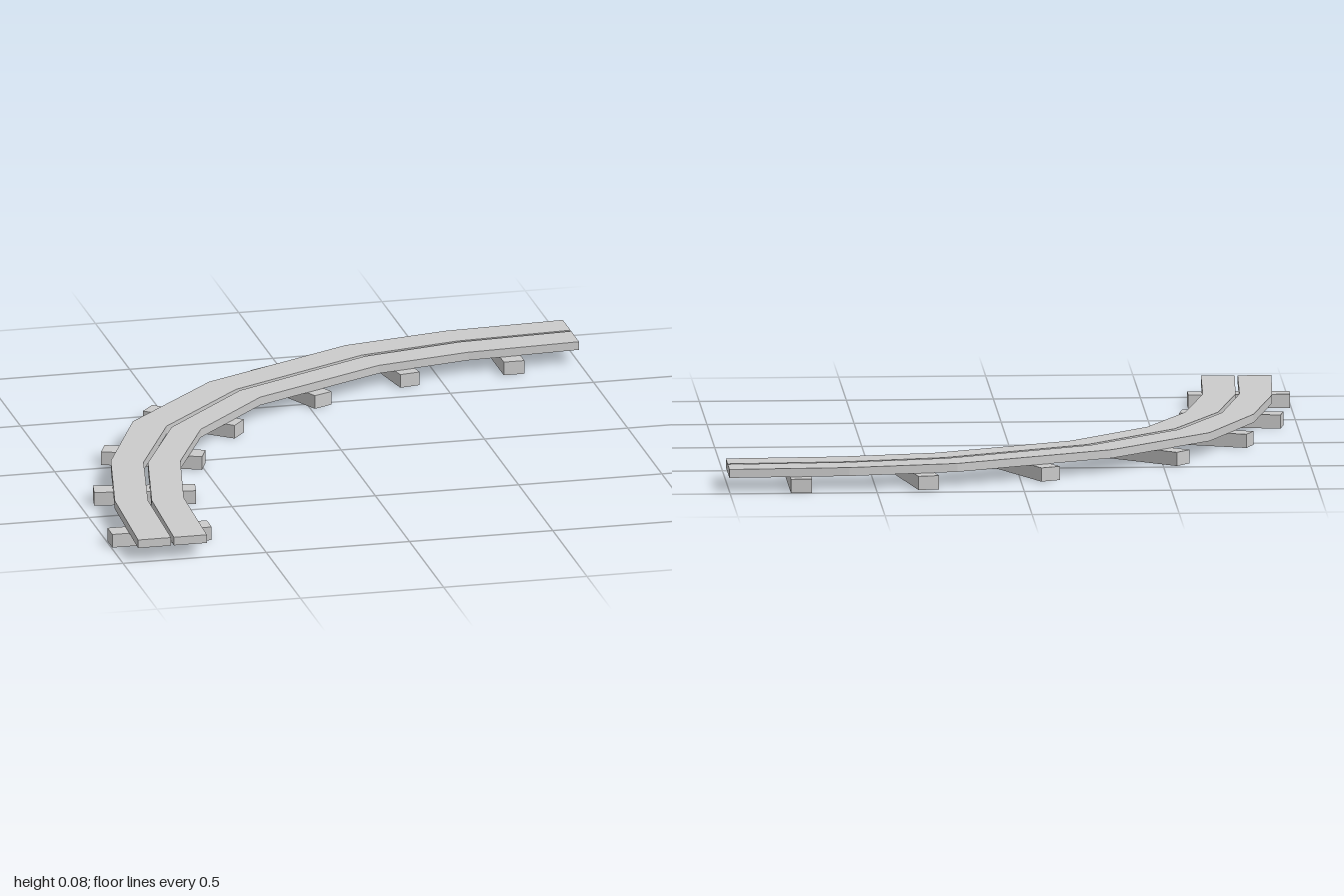
import * as THREE from 'three';

const SLEEPER_H = 0.047, PLANK_H = 0.029;

// Plank edges as [x, z], from the front end round to the right-hand end
const outerPlank = {
  outer: [[-0.945, 0.99], [-0.925, 0.565], [-0.84, 0.15], [-0.67, -0.24], [-0.32, -0.59], [0.22, -0.86], [0.59, -0.93], [1, -0.95]],
  inner: [[-0.83, 0.99], [-0.815, 0.59], [-0.735, 0.19], [-0.57, -0.165], [-0.25, -0.49], [0.25, -0.745], [0.6, -0.815], [1, -0.838]],
};
const innerPlank = {
  outer: [[-0.82, 0.99], [-0.802, 0.59], [-0.722, 0.2], [-0.556, -0.15], [-0.24, -0.476], [0.258, -0.731], [0.605, -0.804], [1, -0.827]],
  inner: [[-0.705, 0.99], [-0.69, 0.59], [-0.61, 0.205], [-0.465, -0.105], [-0.19, -0.39], [0.28, -0.625], [0.605, -0.69], [1, -0.712]],
};

// Sleepers: centre x, centre z, direction across the track (dx, dz)
const sleepers = [
  [-0.823, 0.793, 1, 0],
  [-0.776, 0.376, 63, 11.5],
  [-0.655, -0.003, 59, 24],
  [-0.435, -0.34, 51, 42],
  [-0.027, -0.618, 28, 59],
  [0.353, -0.773, 11.5, 63.5],
  [0.757, -0.817, 0, 1],
];

export function createModel() {
  const group = new THREE.Group();
  group.name = 'curvedTrack';
  const material = new THREE.MeshStandardMaterial({ color: 0xcccccc, flatShading: true });

  const add = (name, geometry) => {
    const mesh = new THREE.Mesh(geometry, material);
    mesh.name = name;
    group.add(mesh);
    return mesh;
  };

  // Two faceted running planks with a narrow gap between them
  const addPlank = (name, { outer, inner }) => {
    const outline = [...outer, ...[...inner].reverse()].map(([x, z]) => new THREE.Vector2(x, -z));
    const geometry = new THREE.ExtrudeGeometry(new THREE.Shape(outline), { depth: PLANK_H, bevelEnabled: false });
    geometry.rotateX(-Math.PI / 2);
    add(name, geometry).position.y = SLEEPER_H;
  };
  addPlank('outerPlank', outerPlank);
  addPlank('innerPlank', innerPlank);

  // Cross sleepers underneath, turned to follow the bend
  const sleeperGeometry = new THREE.BoxGeometry(0.347, SLEEPER_H, 0.072);
  sleepers.forEach(([x, z, dx, dz], i) => {
    const mesh = add(`sleeper${i + 1}`, sleeperGeometry);
    mesh.position.set(x, SLEEPER_H / 2, z);
    mesh.rotation.y = Math.atan2(-dz, dx);
  });

  return group;
}
